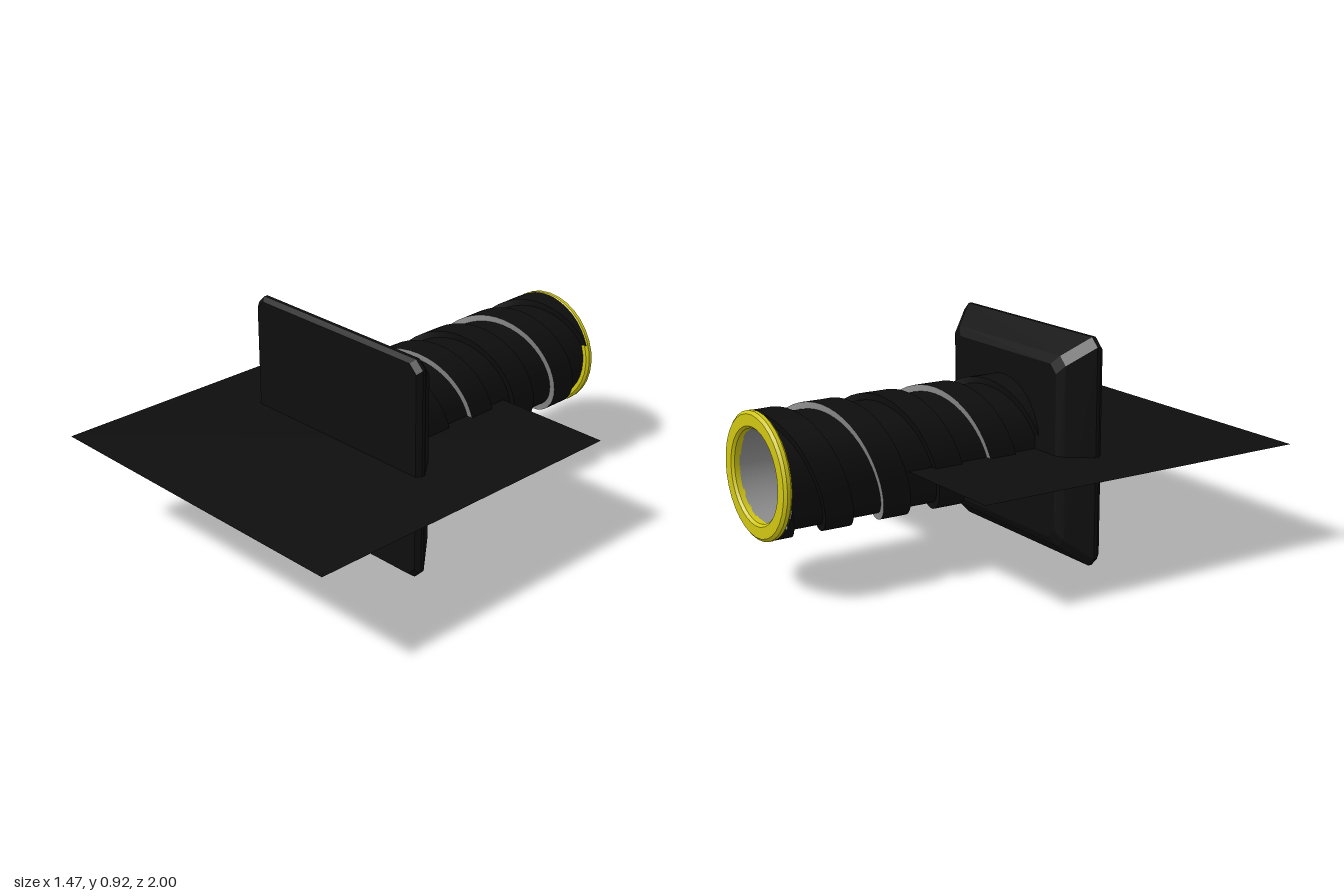
import * as THREE from 'three';

const CY = 0.465;            // height of the tube axis
const PITCH = 0.498;         // axial advance of a thread per turn
const FRONT = 0.125, BACK = -0.966;

// Surface through rows of points; rows run front to back, points counterclockwise
function loft(rows, flat = false) {
  const w = rows[0].length, index = [];
  for (let i = 0; i < rows.length - 1; i++) {
    for (let j = 0; j < w - 1; j++) {
      const a = i * w + j, b = a + 1, c = a + w, d = c + 1;
      index.push(c, d, a, d, b, a);
    }
  }
  let geo = new THREE.BufferGeometry().setFromPoints(rows.flat());
  geo.setIndex(index);
  if (flat) geo = geo.toNonIndexed();
  geo.computeVertexNormals();
  return geo;
}

// Lathe around the z axis, profile of [radius, z], every corner kept sharp
function turned(profile, segments = 32) {
  const pts = profile.flatMap(([r, z]) => [new THREE.Vector2(r, z), new THREE.Vector2(r, z)]);
  return new THREE.LatheGeometry(pts, segments).rotateX(Math.PI / 2);
}

// Twisted strip between two angles and radii, following the thread
function helixStrip(a0, r0, a1, r1, columns) {
  const rows = [], steps = 96;
  for (let i = 0; i <= steps; i++) {
    const z = FRONT + (BACK - FRONT) * i / steps;
    const twist = Math.PI / 2 + (z + 0.18) / PITCH * Math.PI * 2;
    const row = [];
    for (let j = 0; j <= columns; j++) {
      const t = j / columns, a = twist + a0 + (a1 - a0) * t, r = r0 + (r1 - r0) * t;
      row.push(new THREE.Vector3(Math.cos(a) * r, Math.sin(a) * r, z));
    }
    rows.push(row);
  }
  return loft(rows);
}

// Square loop with cut corners
function octagon(z, h, cut) {
  const k = h - cut;
  return [[h, -k], [h, k], [k, h], [-k, h], [-h, k], [-h, -k], [-k, -h], [k, -h], [h, -k]]
    .map(([x, y]) => new THREE.Vector3(x, y, z));
}

export function createModel() {
  const group = new THREE.Group();
  const material = (name, color) =>
    Object.assign(new THREE.MeshStandardMaterial({ color, side: THREE.DoubleSide }), { name });
  const black = material('black', 0x0e0e0e);
  const grey = material('grey', 0x8c8c8c);
  const yellow = material('yellow', 0xcfc612);

  const add = (name, geo, mat, parent = group) => {
    const mesh = new THREE.Mesh(geo, mat);
    mesh.name = name;
    parent.add(mesh);
    return mesh;
  };

  // Flat square sheet through the middle
  add('sheet', new THREE.PlaneGeometry(1.465, 1.465).rotateX(-Math.PI / 2), black)
    .position.set(0, 0.45, 0.2675);

  // Bevelled square flange; zero-size loops close both faces
  const layers = [[0.27, 0, 0], [0.27, 0.445, 0.035], [0.25, 0.46, 0.035], [0.235, 0.46, 0.035],
    [0.14, 0.385, 0.035], [0.12, 0.35, 0.035], [0.12, 0, 0]];
  add('flange', loft(layers.map((l) => octagon(...l)), true), black).position.y = 0.46;

  // Tube with two raised threads, one of them with grey flanks
  const tube = new THREE.Group();
  tube.name = 'tube';
  tube.position.y = CY;
  group.add(tube);
  const half = 0.06 / PITCH * Math.PI * 2, low = 0.22, high = 0.246;
  for (let s = 0; s < 2; s++) {
    const mid = s * Math.PI, flank = s === 0 ? grey : black;
    add('threadFlank', helixStrip(mid - half, low, mid - half, high, 1), flank, tube);
    add('threadTop', helixStrip(mid - half, high, mid + half, high, 10), black, tube);
    add('threadFlank', helixStrip(mid + half, high, mid + half, low, 1), flank, tube);
    add('tubeWall', helixStrip(mid + half, low, mid + Math.PI - half, low, 10), black, tube);
  }

  // Hollow end with its floor
  add('bore', turned([[0, -0.68], [0.18, -0.68], [0.18, -0.97]]), grey, tube);

  // Rim around the opening
  add('rim', turned([[0.18, -0.99], [0.19, -1], [0.235, -1], [0.247, -0.99], [0.247, -0.975],
    [0.237, -0.965], [0.18, -0.965], [0.18, -0.99]]), yellow, tube);

  return group;
}
